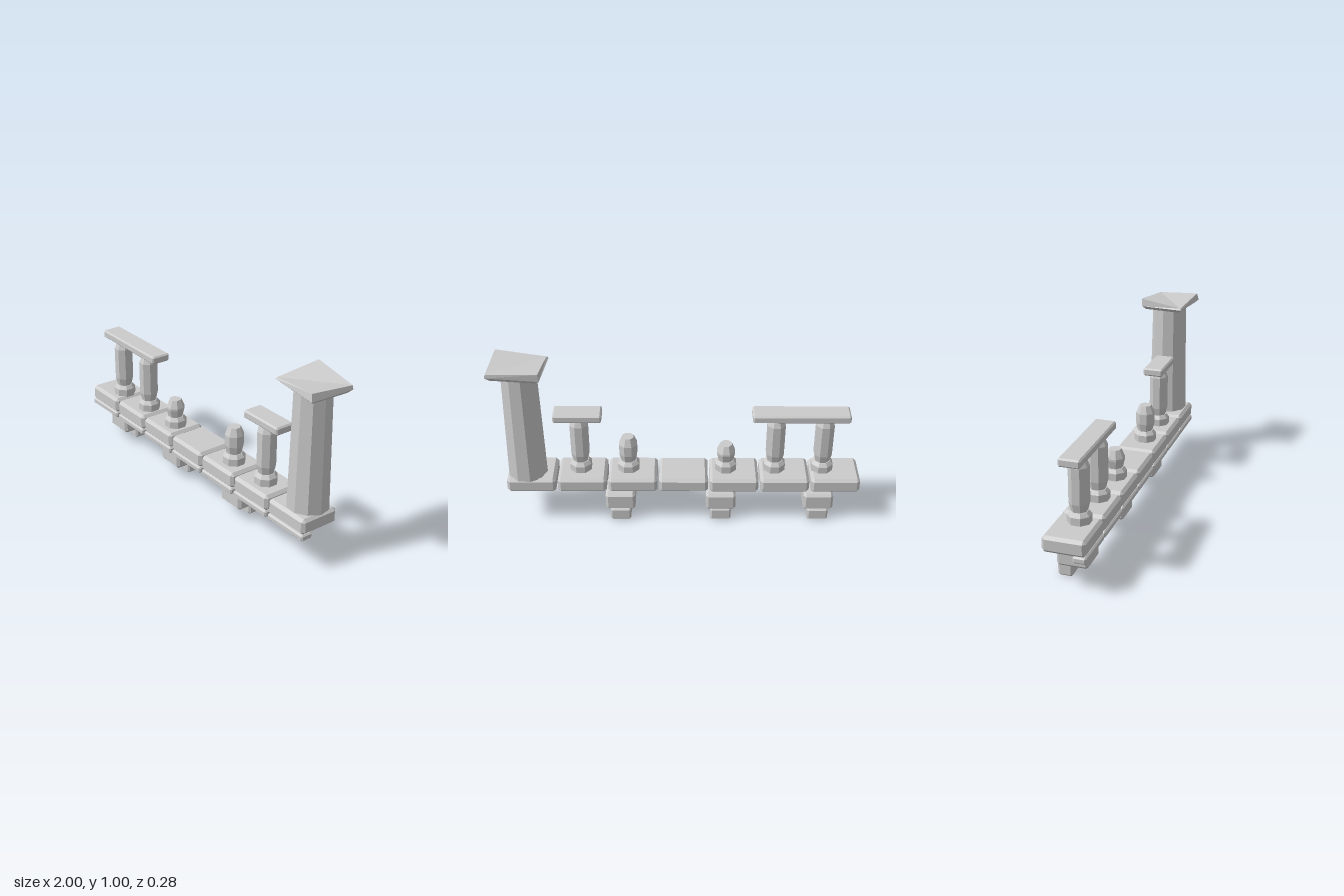
import * as THREE from 'three';
import { ConvexGeometry } from 'three/addons/geometries/ConvexGeometry.js';

const material = new THREE.MeshStandardMaterial({ color: 0xcccccc, flatShading: true });

function add(group, name, geometry, x = 0, y = 0, z = 0) {
  const mesh = new THREE.Mesh(geometry, material);
  mesh.name = name;
  mesh.position.set(x, y, z);
  group.add(mesh);
  return mesh;
}

// Box with all edges chamfered by c, given by its extents
function block(group, name, [x0, x1], [y0, y1], [z0, z1], c) {
  const h = [(x1 - x0) / 2, (y1 - y0) / 2, (z1 - z0) / 2];
  const points = [];
  for (const sx of [-1, 1]) for (const sy of [-1, 1]) for (const sz of [-1, 1]) {
    for (let axis = 0; axis < 3; axis++) {
      const p = h.map((v, i) => (i === axis ? v : v - c));
      points.push(new THREE.Vector3(p[0] * sx, p[1] * sy, p[2] * sz));
    }
  }
  return add(group, name, new ConvexGeometry(points), (x0 + x1) / 2, (y0 + y1) / 2, (z0 + z1) / 2);
}

// Eight-sided turned piece from [radius, y] pairs
function turned(profile) {
  const points = profile.map(([r, y]) => new THREE.Vector2(r, y));
  return new THREE.LatheGeometry(points, 8, Math.PI / 8);
}

// Baluster with an octagonal foot and a bulging shaft
function baluster(group, x, top) {
  const g = new THREE.Group();
  g.name = 'baluster';
  g.position.set(x, 0, 0.02);
  add(g, 'balusterFoot', turned([[0, 0.29], [0.063, 0.29], [0.063, 0.335], [0.047, 0.355], [0, 0.355]]));
  add(g, 'balusterShaft', turned([[0, 0.35], [0.041, 0.35], [0.053, 0.4], [0.053, top - 0.045], [0.034, top], [0, top]]));
  group.add(g);
}

// Warped four-cornered cap lofted through three rings, corners listed clockwise from above
function capGeometry() {
  const rings = [
    [[0.72, 1.0, -0.143], [0.995, 0.975, -0.105], [0.975, 0.99, 0.13], [0.7, 0.965, 0.1]],
    [[0.715, 0.955, -0.138], [1.0, 0.955, -0.105], [0.985, 0.95, 0.138], [0.69, 0.955, 0.105]],
    [[0.735, 0.935, -0.12], [0.975, 0.932, -0.09], [0.965, 0.932, 0.115], [0.715, 0.935, 0.085]],
  ];
  const index = [0, 3, 1, 1, 3, 2, 8, 9, 10, 8, 10, 11];
  for (let r = 0; r < 2; r++) for (let i = 0; i < 4; i++) {
    const a = r * 4 + i, b = r * 4 + (i + 1) % 4;
    index.push(a, b, b + 4, a, b + 4, a + 4);
  }
  const indexed = new THREE.BufferGeometry();
  indexed.setAttribute('position', new THREE.Float32BufferAttribute(rings.flat(2), 3));
  indexed.setIndex(index);
  const geometry = indexed.toNonIndexed();
  geometry.computeVertexNormals();
  return geometry;
}

export function createModel() {
  const model = new THREE.Group();
  model.name = 'brokenBalustrade';

  // Row of floor slabs with a trim strip under the front edge
  for (let i = 0; i < 7; i++) {
    const x = -0.865 + i * 0.28;
    block(model, 'floorSlab', [x - 0.135, x + 0.135], [0.207, 0.295], [-0.103, 0.122], 0.016);
    block(model, 'frontTrim', [x - 0.133, x + 0.133], [0.174, 0.21], [0.055, 0.124], 0.008);
  }

  // Stepped brackets beneath the slabs
  for (const x of [-0.782, -0.235, 0.328]) {
    block(model, 'bracketUpper', [x - 0.083, x + 0.083], [0.068, 0.174], [-0.082, 0.085], 0.014);
    block(model, 'bracketLower', [x - 0.058, x + 0.058], [0, 0.076], [-0.085, -0.006], 0.01);
  }

  // Whole and broken balusters
  const balusters = [[-0.795, 0.635], [-0.53, 0.635], [-0.26, 0.457], [0.28, 0.506], [0.545, 0.635]];
  for (const [x, top] of balusters) baluster(model, x, top);

  // Remaining pieces of handrail
  block(model, 'leftoverRail', [-0.925, -0.398], [0.628, 0.673], [-0.038, 0.075], 0.008);
  block(model, 'leftoverRail', [0.418, 0.68], [0.628, 0.673], [-0.038, 0.075], 0.008);

  // End pillar and its tilted cap
  add(model, 'pillarShaft',
    new THREE.CylinderGeometry(0.098, 0.111, 0.655, 10, 1, false, THREE.MathUtils.degToRad(12)),
    0.84, 0.6175, -0.005);
  add(model, 'pillarCap', capGeometry());

  return model;
}
